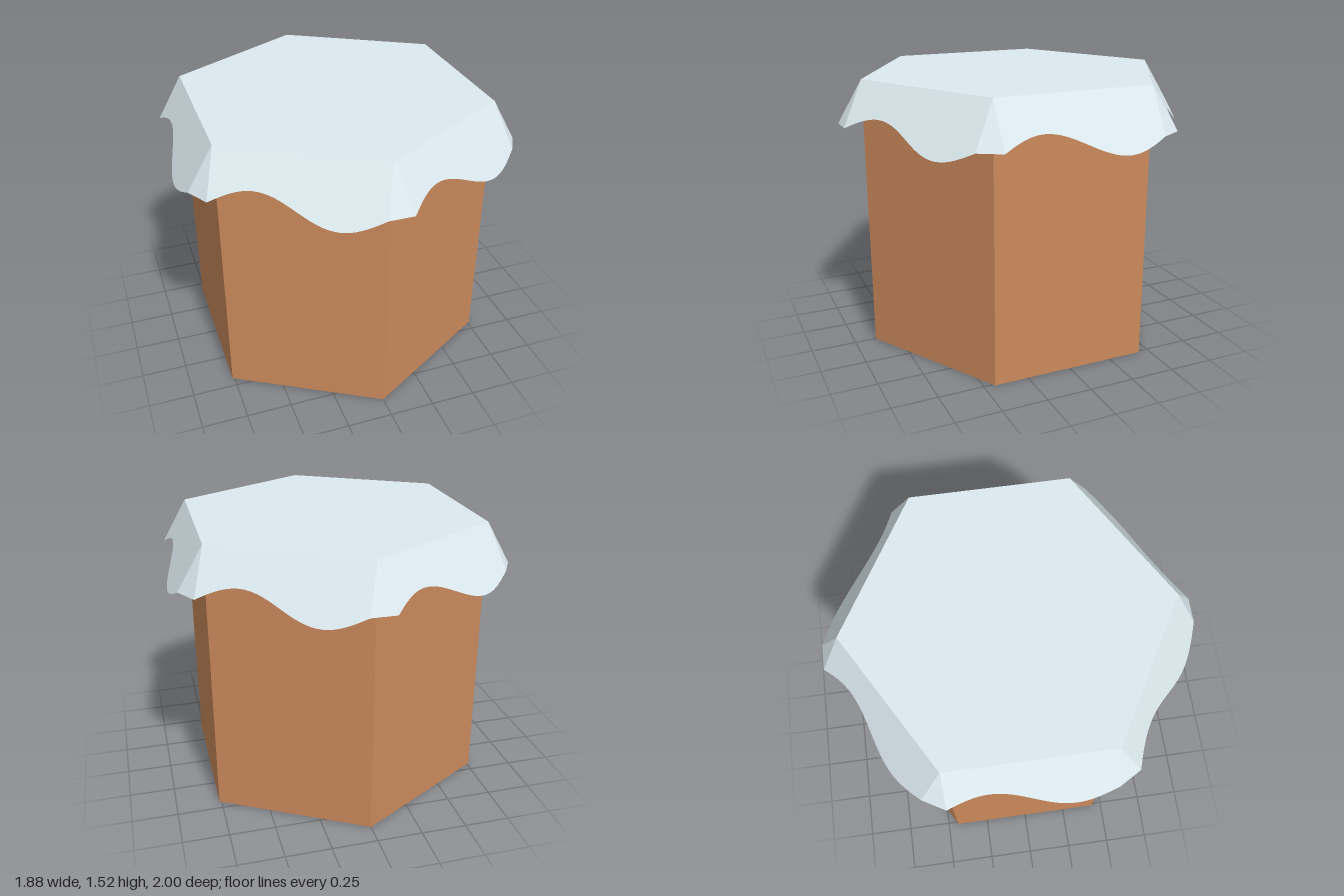
import * as THREE from 'three';

const R = 0.88, H = 1.525;             // hexagon corner radius, total height
const APOTHEM = R * Math.cos(Math.PI / 6);
const DROP = 0.24, FLARE = 0.1386;     // how far the cloth hangs down and out
const WAVE = 0.275, STEPS = 32;        // hem ripple as a share of the hang

// One hanging side of the cloth, facing +x, plus the corner gusset after it
function flapGeometry() {
  const pos = [];
  const top = t => new THREE.Vector3(APOTHEM, H, R / 2 - R * t);
  const hem = t => {
    const k = 1 - WAVE * Math.sin(2 * Math.PI * t);
    return new THREE.Vector3(APOTHEM + FLARE * k, H - DROP * k, R / 2 - R * t);
  };
  const tri = (...pts) => pts.forEach(p => pos.push(p.x, p.y, p.z));
  for (let i = 0; i < STEPS; i++) {
    const a = i / STEPS, b = (i + 1) / STEPS;
    tri(top(a), hem(a), hem(b));
    tri(top(a), hem(b), top(b));
  }
  // gusset joins this hem to the start of the next side
  const next = hem(0).applyAxisAngle(new THREE.Vector3(0, 1, 0), Math.PI / 3);
  tri(top(1), hem(1), next);
  const g = new THREE.BufferGeometry();
  g.setAttribute('position', new THREE.Float32BufferAttribute(pos, 3));
  g.computeVertexNormals();
  return g;
}

export function createModel() {
  const group = new THREE.Group();
  const brown = new THREE.MeshStandardMaterial({ color: 0xcb8a5c, flatShading: true });
  const cloth = new THREE.MeshStandardMaterial({ color: 0xdcebf0, flatShading: true, side: THREE.DoubleSide });

  // Hexagonal body, ending just under the cloth
  const bodyHeight = H - 0.004;
  const body = new THREE.Mesh(new THREE.CylinderGeometry(R, R, bodyHeight, 6), brown);
  body.position.y = bodyHeight / 2;
  body.name = 'body';
  group.add(body);

  // Cloth cover: flat top and six wavy hanging sides
  const cover = new THREE.Group();
  cover.name = 'cover';
  const lid = new THREE.Mesh(new THREE.CircleGeometry(R, 6, Math.PI / 2), cloth);
  lid.rotation.x = -Math.PI / 2;
  lid.position.y = H;
  lid.name = 'coverTop';
  cover.add(lid);
  const flap = flapGeometry();
  for (let i = 0; i < 6; i++) {
    const side = new THREE.Mesh(flap, cloth);
    side.rotation.y = i * Math.PI / 3;
    side.name = 'coverFlap' + (i + 1);
    cover.add(side);
  }
  group.add(cover);
  return group;
}
